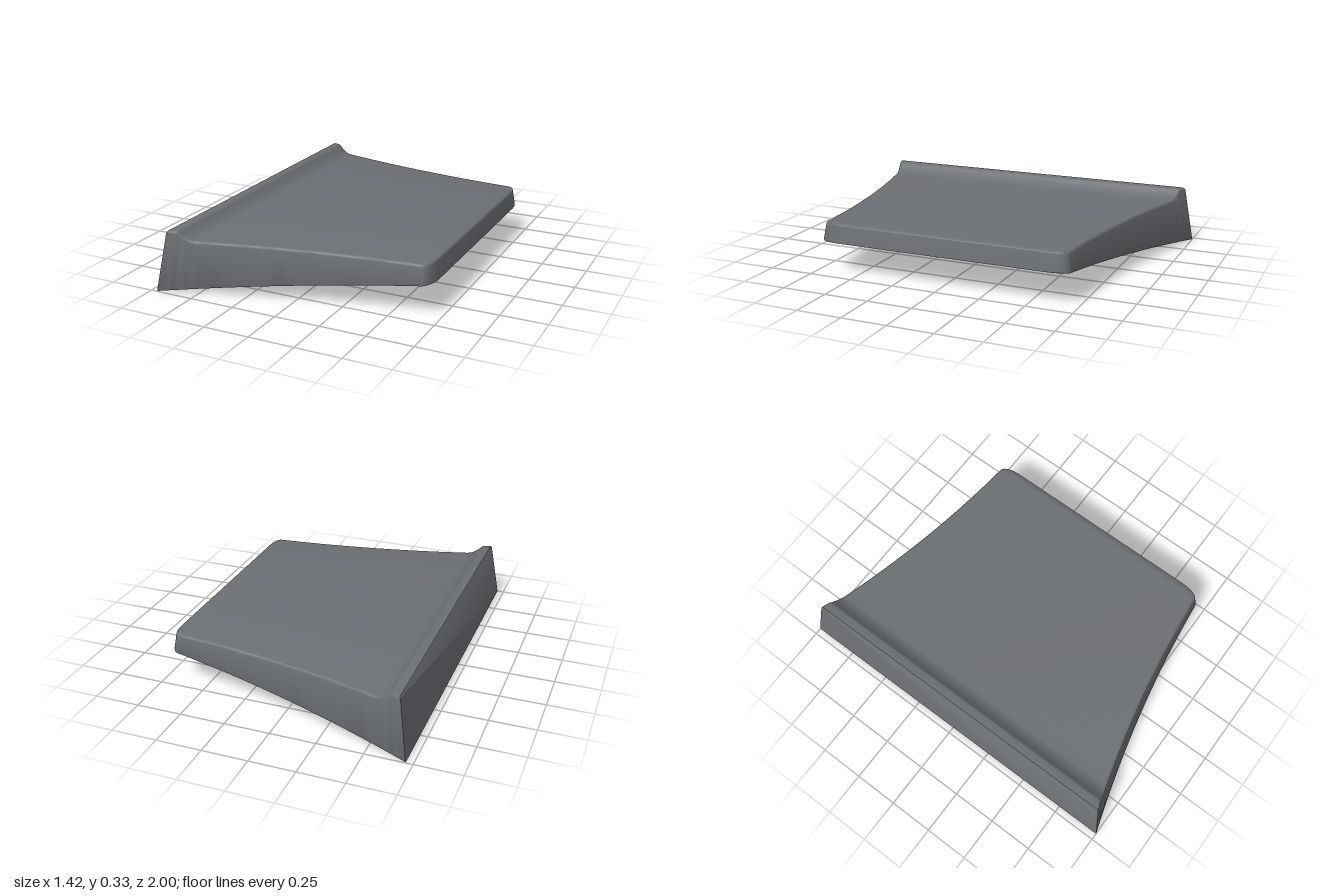
import * as THREE from 'three';
import { toCreasedNormals } from 'three/addons/utils/BufferGeometryUtils.js';

const halfWidth = (x) => 0.81 - 0.2075 * x + 0.0847 * x * x; // flared plan outline
const underside = (x) => Math.max(0, (x + 0.712) * 0.125); // sloping bottom

// One closed section: lower +z corner, up, across the top, down to lower -z corner
function section({ bottomX, topX, topY, width }) {
  const y0 = underside(bottomX);
  const wTop = width - 0.14 * (topY - y0);
  const r = 0.014;
  const half = [[width - 0.012, y0], [width - 0.003, y0 + 0.002], [width, y0 + 0.009]];
  for (let i = 0; i <= 4; i++) {
    const a = (i / 4) * Math.PI / 2;
    half.push([wTop - r + r * Math.cos(a), topY - r + r * Math.sin(a)]);
  }
  const mirrored = half.slice().reverse().map(([z, y]) => [-z, y]);
  return [...half, ...mirrored].map(([z, y]) => {
    const k = (y - y0) / (topY - y0);
    return [bottomX + (topX - bottomX) * k, y, z];
  });
}

function makeStations() {
  const list = [];
  const add = (bottomX, topX, topY, width = halfWidth(bottomX)) => list.push({ bottomX, topX, topY, width });
  // raised rear lip
  add(-0.712, -0.662, 0.325);
  add(-0.709, -0.658, 0.33);
  add(-0.66, -0.618, 0.33);
  add(-0.65, -0.61, 0.328);
  // concave fillet from the lip down to the deck
  for (let i = 0; i <= 8; i++) {
    const k = i / 8;
    add(-0.64 + 0.1 * k, -0.604 + 0.084 * k, 0.28 + 0.043 * (1 - k) ** 2);
  }
  // flat deck
  for (let i = 1; i <= 18; i++) {
    const k = i / 18;
    add(-0.54 + 1.2 * k, -0.52 + 1.17 * k, 0.28);
  }
  // rounded front corners
  for (let i = 1; i <= 10; i++) {
    const a = (i / 10) * Math.PI / 2;
    const c = 1 - Math.cos(a);
    add(0.66 + 0.05 * Math.sin(a), 0.65 + 0.046 * Math.sin(a), 0.28 - 0.009 * c * c, 0.71 - 0.11 * c);
  }
  return list;
}

// Skin the sections and close both ends
function loft(rings) {
  const n = rings[0].length;
  const positions = rings.flat(2);
  const index = [];
  for (let i = 0; i < rings.length - 1; i++) {
    for (let j = 0; j < n; j++) {
      const a = i * n + j, b = i * n + (j + 1) % n;
      index.push(a, a + n, b, b, a + n, b + n);
    }
  }
  const last = (rings.length - 1) * n;
  for (let j = 1; j < n - 1; j++) {
    index.push(0, j, j + 1);
    index.push(last, last + j + 1, last + j);
  }
  const geometry = new THREE.BufferGeometry();
  geometry.setAttribute('position', new THREE.Float32BufferAttribute(positions, 3));
  geometry.setIndex(index);
  return toCreasedNormals(geometry, 0.6);
}

export function createModel() {
  const group = new THREE.Group();
  group.name = 'wedgePlate';
  const grey = new THREE.MeshStandardMaterial({ color: 0x6c6f73 });
  grey.name = 'slate grey';
  const body = new THREE.Mesh(loft(makeStations().map(section)), grey);
  body.name = 'plateBody';
  group.add(body);
  return group;
}
